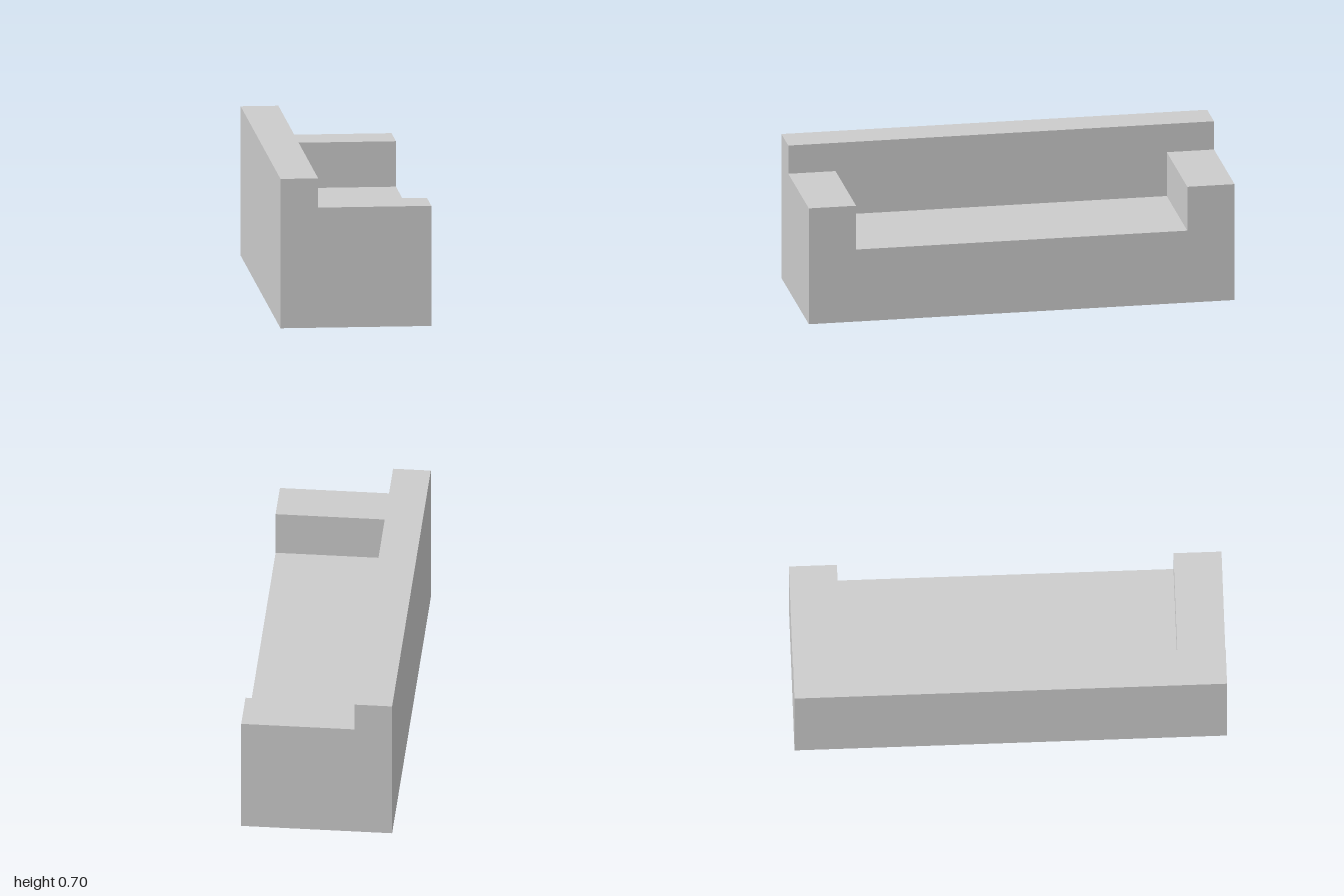
import * as THREE from 'three';

const material = new THREE.MeshStandardMaterial({ color: 0xcccccc, flatShading: true });

// Box given by its lower and upper corners
function block(name, [x0, y0, z0], [x1, y1, z1]) {
  const mesh = new THREE.Mesh(new THREE.BoxGeometry(x1 - x0, y1 - y0, z1 - z0), material);
  mesh.position.set((x0 + x1) / 2, (y0 + y1) / 2, (z0 + z1) / 2);
  mesh.name = name;
  return mesh;
}

export function createModel() {
  const sofa = new THREE.Group();
  sofa.name = 'sofa';

  const halfDepth = 0.35, backFace = -0.175, seatTop = 0.35;
  const armTop = 0.563, backTop = 0.7, armInner = 0.778;

  // Full-length backrest along the -x side
  sofa.add(block('backrest', [-halfDepth, 0, -1], [backFace, backTop, 1]));

  // Solid seat base reaching the floor
  sofa.add(block('seat', [backFace, 0, -1], [halfDepth, seatTop, 1]));

  // Armrests standing on both ends of the seat
  sofa.add(block('frontArmrest', [backFace, seatTop, armInner], [halfDepth, armTop, 1]));
  sofa.add(block('rearArmrest', [backFace, seatTop, -1], [halfDepth, armTop, -armInner]));

  return sofa;
}
